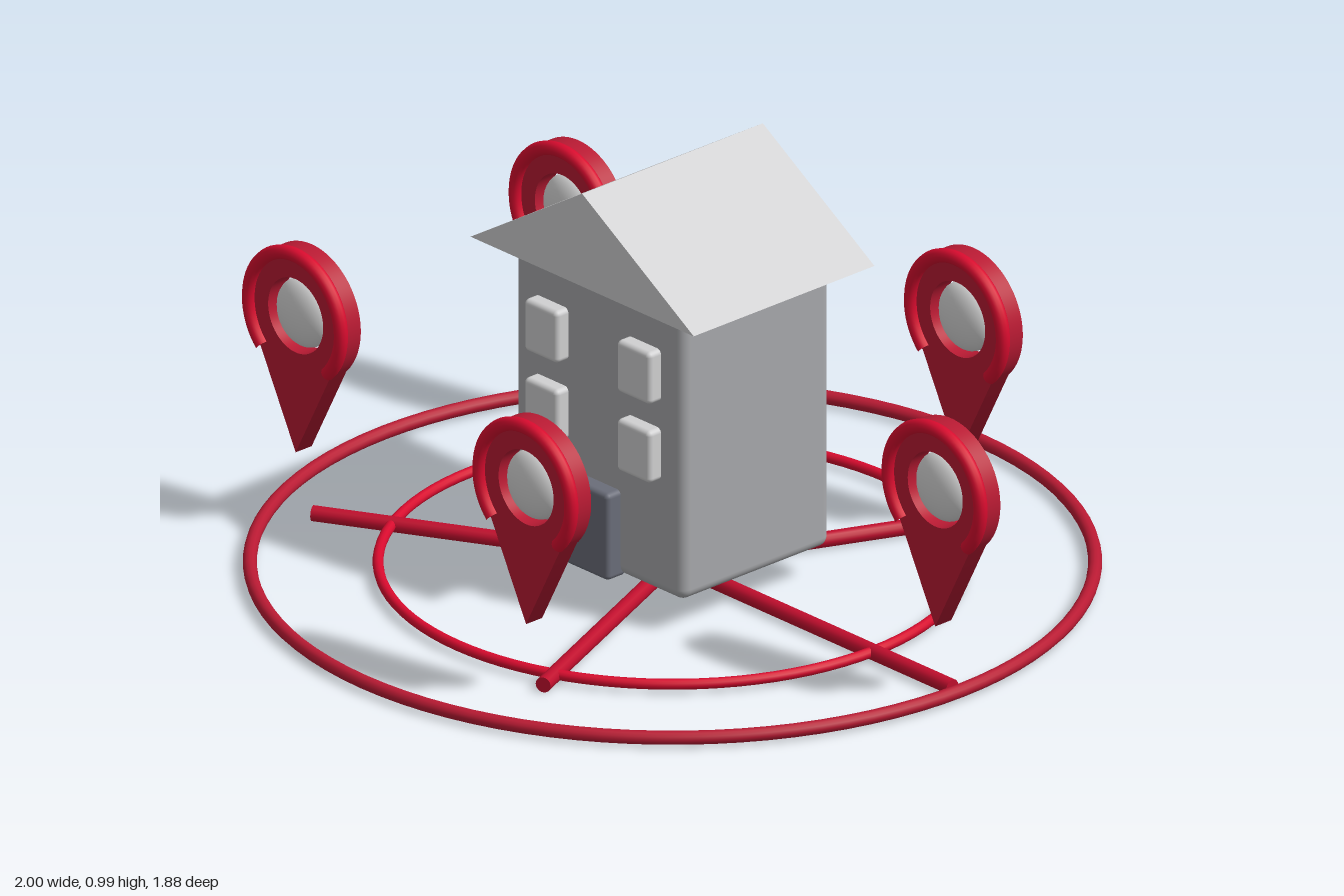
import * as THREE from 'three';
import { RoundedBoxGeometry } from 'three/addons/geometries/RoundedBoxGeometry.js';

const mat = (name, color) => {
  const m = new THREE.MeshStandardMaterial({ color });
  m.name = name;
  return m;
};

export function createModel() {
  const crimson = mat('crimson', 0xd80b2e);
  const deepCrimson = mat('deep crimson', 0xc00e2d);
  const darkRed = mat('dark red', 0xb91a33);
  const wallGray = mat('wall gray', 0xa7a8ab);
  const lightGray = mat('light gray', 0xd0d0d1);
  const paleGray = mat('pale gray', 0xd6d6d6);
  const slate = mat('slate', 0x6a6d79);

  const model = new THREE.Group();
  model.name = 'houseWithLocationPins';
  const root = new THREE.Group(); // centre of the rings and house
  root.name = 'assembly';
  root.position.x = -0.061;
  model.add(root);

  const add = (parent, name, geometry, material, x = 0, y = 0, z = 0) => {
    const mesh = new THREE.Mesh(geometry, material);
    mesh.name = name;
    mesh.position.set(x, y, z);
    parent.add(mesh);
    return mesh;
  };

  // House body, door and windows
  const house = new THREE.Group();
  house.name = 'house';
  root.add(house);
  add(house, 'walls', new RoundedBoxGeometry(0.54, 0.69, 0.445, 4, 0.025), wallGray, 0, 0.426, 0);
  add(house, 'door', new RoundedBoxGeometry(0.145, 0.208, 0.06, 3, 0.012), slate, 0, 0.182, 0.232);
  for (const x of [-0.148, 0.148])
    for (const y of [0.416, 0.605])
      add(house, 'window', new RoundedBoxGeometry(0.107, 0.125, 0.05, 3, 0.012), lightGray, x, y, 0.233);

  // Gabled roof
  const gable = new THREE.Shape();
  gable.moveTo(-0.357, 0.767);
  gable.lineTo(0.357, 0.767);
  gable.lineTo(0, 0.99);
  gable.closePath();
  const roof = new THREE.ExtrudeGeometry(gable, { depth: 0.54, bevelEnabled: false });
  add(house, 'roof', roof, lightGray, 0, 0, -0.27);

  // Ground rings
  const ring = (name, radius, tube, material) =>
    add(root, name, new THREE.TorusGeometry(radius, tube, 12, 96), material, 0, 0.022, 0).rotateX(Math.PI / 2);
  ring('outerRing', 0.923, 0.0155, darkRed);
  ring('innerRing', 0.643, 0.012, crimson);

  // Pin head with a round hole, tapering to the tip
  const R = 0.157;
  const a = Math.PI / 4;
  const outline = new THREE.Shape();
  outline.moveTo(0, -0.328);
  outline.lineTo(R * Math.cos(a), -R * Math.sin(a));
  outline.absarc(0, 0, R, -a, Math.PI + a, false);
  outline.closePath();
  const hole = new THREE.Path();
  hole.absarc(0, 0, 0.088, 0, Math.PI * 2, true);
  outline.holes.push(hole);
  const plate = new THREE.ExtrudeGeometry(outline, { depth: 0.048, bevelEnabled: false, curveSegments: 40 });

  // Smooth the plate's edge: side normals point away from the head's centre, or into the hole
  const { position, normal } = plate.attributes;
  for (let i = 0; i < position.count; i++) {
    if (Math.abs(normal.getZ(i)) > 0.5) continue;
    const x = position.getX(i), y = position.getY(i);
    const r = Math.hypot(x, y) * (Math.hypot(x, y) < 0.1 ? -1 : 1);
    normal.setXYZ(i, x / r, y / r, 0);
  }

  // Raised rim around three quarters of the head, and the flattened orb
  const rim = new THREE.TorusGeometry(0.147, 0.016, 12, 56, Math.PI * 1.5);
  rim.rotateZ(-a);
  const orb = new THREE.SphereGeometry(0.08, 32, 20);
  orb.scale(1, 1, 0.48);

  // Five spokes, each ending under a pin
  for (let i = 0; i < 5; i++) {
    const t = (i * Math.PI * 2) / 5;
    const x = 0.895 * Math.cos(t);
    const z = 0.678 * Math.sin(t);
    const length = Math.hypot(x, z);
    const bar = new THREE.CylinderGeometry(0.018, 0.018, length, 14);
    bar.rotateZ(Math.PI / 2);
    add(root, 'spoke', bar, deepCrimson, x / 2, 0.02, z / 2).rotation.y = -Math.atan2(z, x);

    const pin = new THREE.Group();
    pin.name = 'pin';
    pin.position.set(x, 0.51, z);
    root.add(pin);
    add(pin, 'pinPlate', plate, darkRed, 0, 0, 0.003);
    add(pin, 'pinRim', rim, crimson, 0, 0, 0.053);
    add(pin, 'pinOrb', orb, paleGray, 0, 0, 0.024);
  }
  return model;
}
